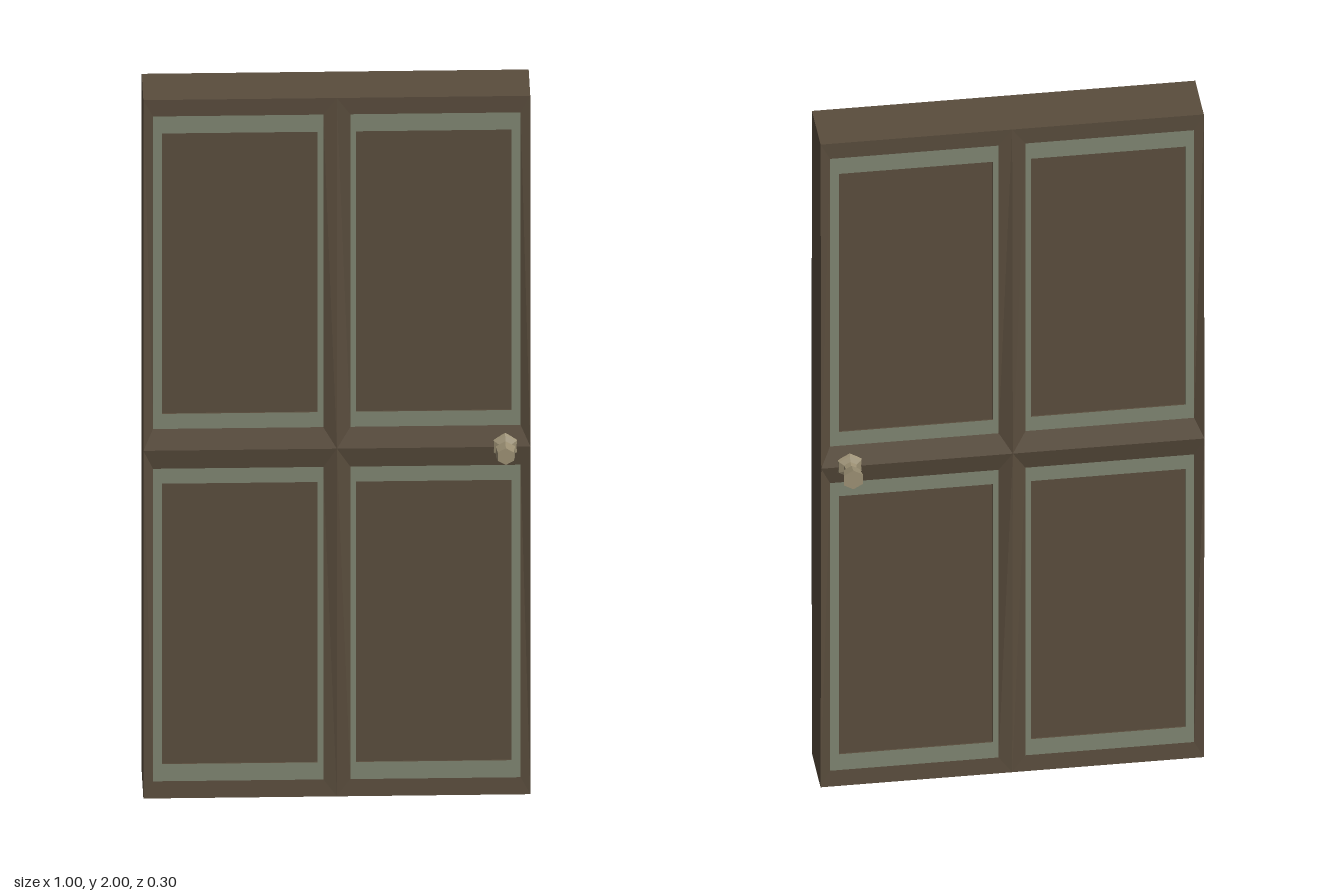
import * as THREE from 'three';

const WOOD = new THREE.MeshStandardMaterial({ color: 0x5a4d3d, flatShading: true });
const TRIM = new THREE.MeshStandardMaterial({ color: 0x7f8571, flatShading: true });
const METAL = new THREE.MeshStandardMaterial({ color: 0x9c9074, flatShading: true });

// Flat-faced mesh from a list of four-cornered faces
function quadMesh(name, quads, material, flip = false) {
  const pos = [];
  for (const [a, b, c, d] of quads) {
    const order = flip ? [a, c, b, a, d, c] : [a, b, c, a, c, d];
    order.forEach(p => pos.push(...p));
  }
  const g = new THREE.BufferGeometry();
  g.setAttribute('position', new THREE.Float32BufferAttribute(pos, 3));
  g.computeVertexNormals();
  const mesh = new THREE.Mesh(g, material);
  mesh.name = name;
  return mesh;
}

// Rectangle corners, counter-clockwise from bottom left; z depends on y
const loop = (x0, x1, y0, y1, z) =>
  [[x0, y0], [x1, y0], [x1, y1], [x0, y1]].map(([x, y]) => [x, y, z(y)]);

// Faces between an outer and an inner rectangle
const bridge = (a, b) => a.map((p, i) => [p, a[(i + 1) % 4], b[(i + 1) % 4], b[i]]);

// One quarter of a door face: sloping frame, trim band and sunken panel
function quarter(sx, upper, side, edgeZ, ridgeZ) {
  const group = new THREE.Group();
  group.name = `${side > 0 ? 'front' : 'back'}${upper ? 'Upper' : 'Lower'}${sx > 0 ? 'Left' : 'Right'}Panel`;
  const rect = (xa, xb, ya, yb, z) => {
    const [x0, x1] = sx > 0 ? [xa, xb] : [-xb, -xa];
    const [y0, y1] = upper ? [1 + ya, 1 + yb] : [1 - yb, 1 - ya];
    return loop(x0, x1, y0, y1, y => side * z(y));
  };
  const trimZ = () => edgeZ - 0.002;
  const panelZ = () => edgeZ - 0.006;
  const outer = rect(0, 0.5, 0, 1, y => (y === 1 ? ridgeZ : edgeZ));
  const trimOut = rect(0.035, 0.475, 0.057, 0.952, trimZ);
  const trimIn = rect(0.05, 0.452, 0.1, 0.903, trimZ);
  const panel = rect(0.05, 0.452, 0.1, 0.903, panelZ);
  const flip = side < 0;
  group.add(
    quadMesh('frame', bridge(outer, trimOut), WOOD, flip),
    quadMesh('trim', bridge(trimOut, trimIn), TRIM, flip),
    quadMesh('panel', [...bridge(trimIn, panel), panel], WOOD, flip)
  );
  return group;
}

// Six-sided knob from a profile of [radius, distance outwards]
function knob(name, x, z, side, profile) {
  const geo = new THREE.LatheGeometry(profile.map(([r, d]) => new THREE.Vector2(r, d)), 6);
  const mesh = new THREE.Mesh(geo, METAL);
  mesh.name = name;
  mesh.rotation.x = side * Math.PI / 2;
  mesh.position.set(x, 1, z);
  return mesh;
}

export function createModel() {
  const door = new THREE.Group();
  door.name = 'door';
  const front = { edge: 0.082, ridge: 0.091 };
  const back = { edge: 0.076, ridge: 0.089 };

  // Four panelled quarters on each face
  for (const sx of [1, -1]) {
    for (const upper of [true, false]) {
      door.add(quarter(sx, upper, 1, front.edge, front.ridge));
      door.add(quarter(sx, upper, -1, back.edge, back.ridge));
    }
  }

  // Door edges, widest at mid height
  for (const sx of [1, -1]) {
    const x = 0.5 * sx;
    const section = [[0, front.edge, -back.edge], [1, front.ridge, -back.ridge], [2, front.edge, -back.edge]];
    const quads = [0, 1].map(i => {
      const [y0, f0, b0] = section[i], [y1, f1, b1] = section[i + 1];
      return [[x, y0, f0], [x, y0, b0], [x, y1, b1], [x, y1, f1]];
    });
    door.add(quadMesh(sx > 0 ? 'leftEdge' : 'rightEdge', quads, WOOD, sx < 0));
  }
  for (const y of [2, 0]) {
    const quad = [[-0.5, y, front.edge], [0.5, y, front.edge], [0.5, y, -back.edge], [-0.5, y, -back.edge]];
    door.add(quadMesh(y ? 'topEdge' : 'bottomEdge', [quad], WOOD, y === 0));
  }

  // Knobs with a flared rose, a short neck and a faceted grip
  door.add(knob('frontKnob', 0.435, 0.085, 1,
    [[0.037, 0], [0.033, 0.007], [0.017, 0.013], [0.016, 0.027], [0.029, 0.033], [0.024, 0.065], [0, 0.065]]));
  door.add(knob('backKnob', 0.425, -0.083, -1,
    [[0.037, 0], [0.033, 0.007], [0.019, 0.013], [0.016, 0.03], [0.023, 0.037], [0.029, 0.069], [0, 0.069]]));
  return door;
}
